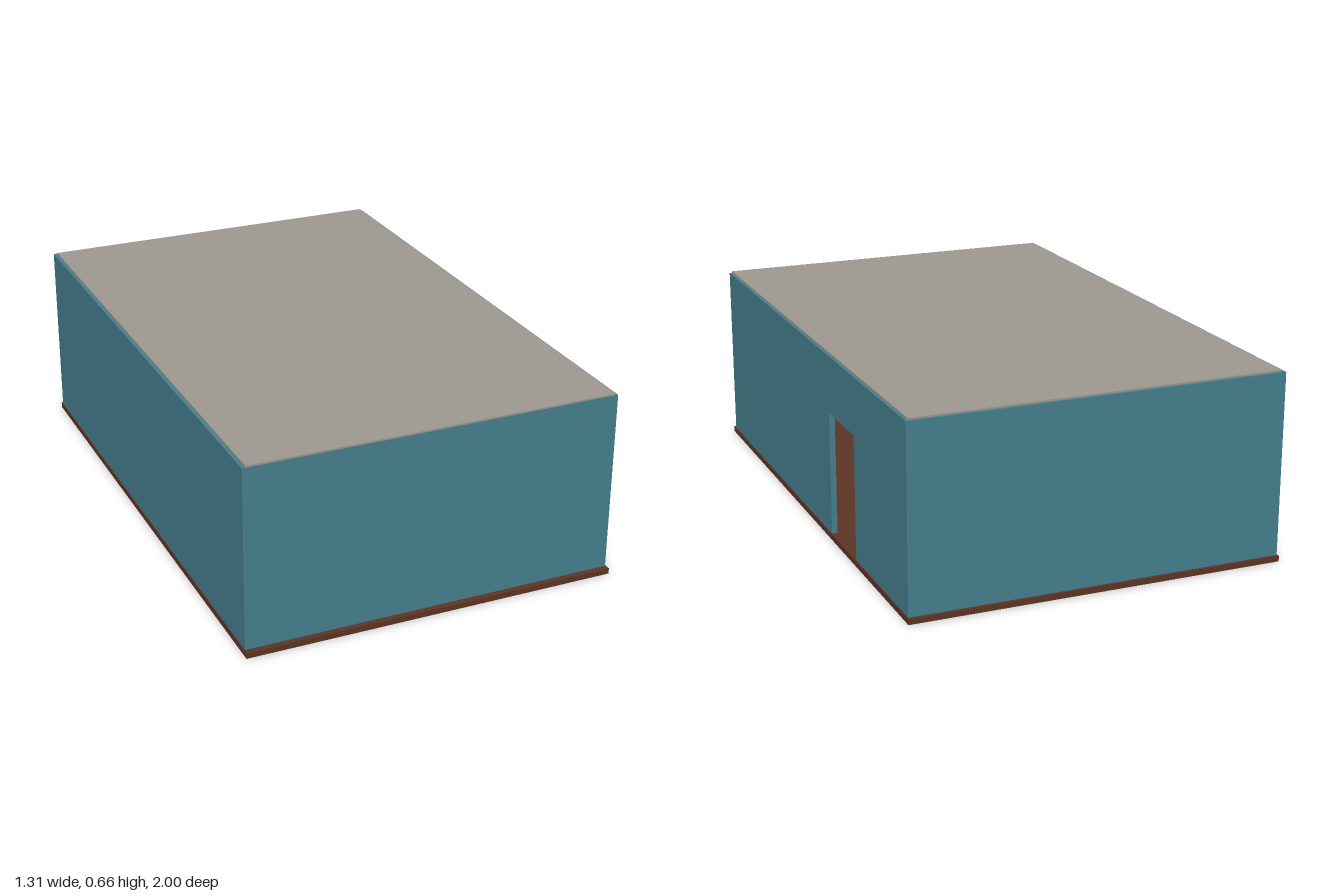
import * as THREE from 'three';

export function createModel() {
  const model = new THREE.Group();
  model.name = 'house';

  const mat = (name, color) => {
    const m = new THREE.MeshStandardMaterial({ color });
    m.name = name;
    return m;
  };
  const teal = mat('tealWall', 0x478090);
  const brown = mat('brownFloor', 0x5e3523);
  const grey = mat('greyRoof', 0x9f9a90);

  const add = (name, geometry, material) => {
    const mesh = new THREE.Mesh(geometry, material);
    mesh.name = name;
    model.add(mesh);
    return mesh;
  };
  // Box given by its lowest and highest corners
  const block = (name, material, [x0, y0, z0], [x1, y1, z1]) =>
    add(name, new THREE.BoxGeometry(x1 - x0, y1 - y0, z1 - z0), material)
      .position.set((x0 + x1) / 2, (y0 + y1) / 2, (z0 + z1) / 2);

  const W = 0.652, BASE = 0.02, TOP = 0.655, BACK = -0.99, FRONT = 0.98, T = 0.02;

  // Floor slab and thin roof sheet
  block('floor', brown, [-0.655, 0, -1], [0.655, BASE, 1]);
  block('roof', grey, [-0.64, TOP, -0.981], [0.643, 0.661, 0.979]);

  // Plain walls
  block('frontWall', teal, [-W + T, BASE, FRONT - T], [W - T, TOP, FRONT]);
  block('backWall', teal, [-W + T, BASE, BACK], [W - T, TOP, BACK + T]);
  block('rightWall', teal, [-W, BASE, BACK], [-W + T, TOP, FRONT]);

  // Wall with the open doorway, outlined in z and y
  const outline = new THREE.Shape([
    [BACK, BASE], [-0.5, BASE], [-0.5, 0.455], [-0.245, 0.455],
    [-0.245, BASE], [FRONT, BASE], [FRONT, TOP], [BACK, TOP],
  ].map(([z, y]) => new THREE.Vector2(z, y)));
  const doorWall = new THREE.ExtrudeGeometry(outline, { depth: T, bevelEnabled: false });
  doorWall.rotateY(-Math.PI / 2);
  add('doorwayWall', doorWall, teal).position.x = W;

  return model;
}
